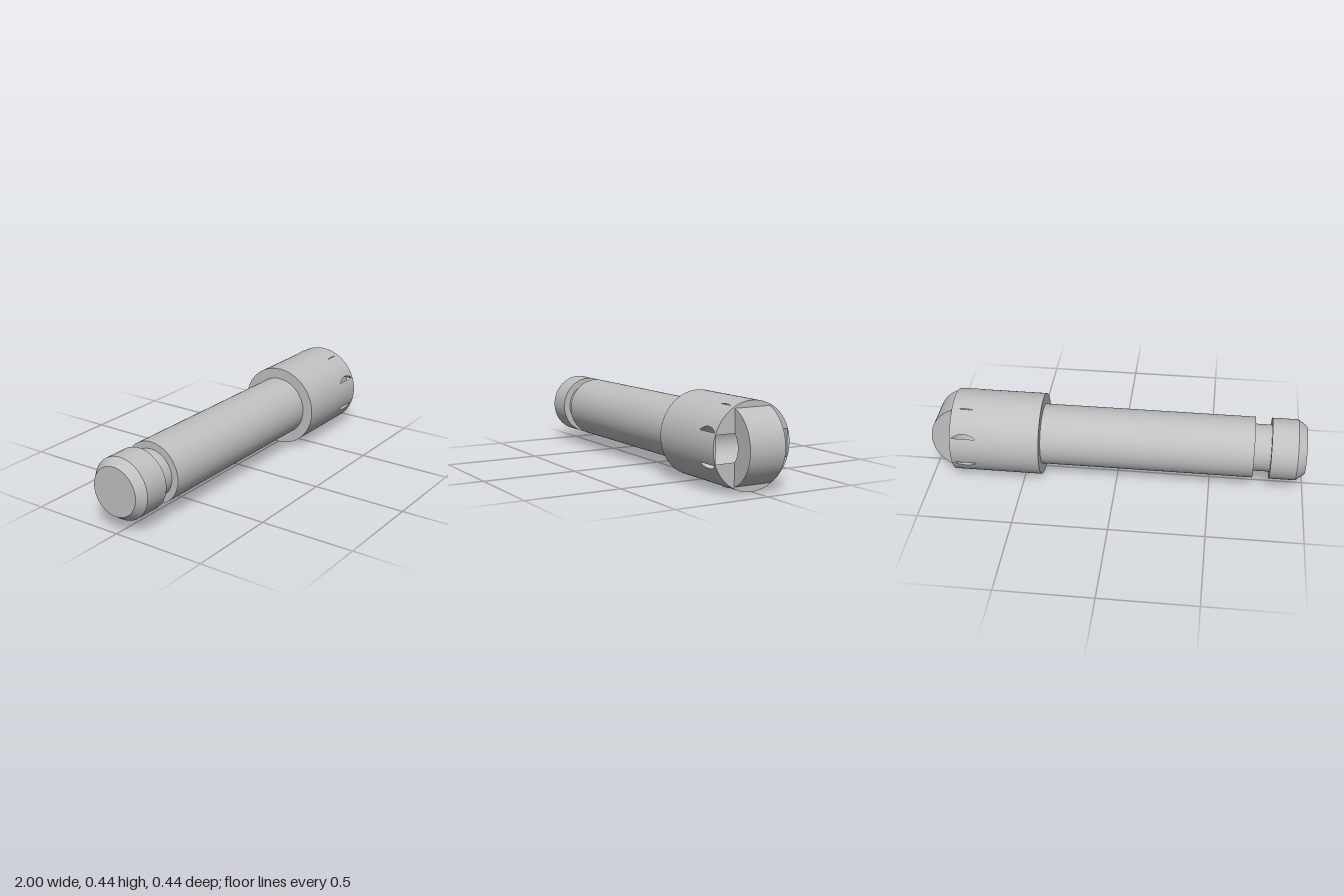
import * as THREE from 'three';
import { mergeGeometries } from 'three/addons/utils/BufferGeometryUtils.js';

const R = 0.219;          // head radius
const HEAD0 = 0.4, HEAD1 = 0.873;
const CX = 0.8;           // roller centre along the pin
const BORE = 0.1, ROLLER = 0.2, HALF = 0.1;
const DEPTH = 0.205;      // half length of the cross pocket
const FLAT = Math.sqrt(R * R - DEPTH * DEPTH); // where the pocket ends meet the head skin

// Turned solid around +y with sharp edges; profile is [position, radius] pairs
function turned(profile) {
  const parts = [];
  for (let i = 0; i + 1 < profile.length; i++) {
    const pts = [profile[i], profile[i + 1]].map(([p, r]) => new THREE.Vector2(r, p));
    parts.push(new THREE.LatheGeometry(pts, 96));
  }
  return mergeGeometries(parts);
}

// Collects four-cornered patches with exact normals
function patches() {
  const pos = [], nor = [];
  return {
    add(corners, normals) {
      for (const i of [0, 1, 2, 0, 2, 3]) {
        pos.push(...corners[i]);
        nor.push(...normals[i]);
      }
    },
    geometry() {
      const g = new THREE.BufferGeometry();
      g.setAttribute('position', new THREE.Float32BufferAttribute(pos, 3));
      g.setAttribute('normal', new THREE.Float32BufferAttribute(nor, 3));
      return g;
    },
  };
}

// Head skin, left open where the cross pocket breaks through in four slits
function headSkin() {
  const out = patches();
  const s1 = Math.asin(FLAT / R), s2 = Math.asin(BORE / R), PI = Math.PI;
  const breaks = [-s2, -s1, s1, s2, PI - s2, PI - s1, PI + s1, PI + s2, 2 * PI - s2];
  const at = (x, a) => [x, R * Math.sin(a), R * Math.cos(a)];
  const n = (a) => [0, Math.sin(a), Math.cos(a)];
  for (let k = 0; k < 8; k++) {
    const slit = k % 2 === 0;
    const span = breaks[k + 1] - breaks[k];
    const steps = Math.max(12, Math.ceil(span / 0.06));
    const half = (a) => slit ? Math.sqrt(Math.max(0, BORE ** 2 - (R * Math.sin(a)) ** 2)) : 0;
    for (let i = 0; i < steps; i++) {
      const a = breaks[k] + span * i / steps, b = breaks[k] + span * (i + 1) / steps;
      const normals = [n(a), n(a), n(b), n(b)];
      out.add([at(HEAD0, a), at(CX - half(a), a), at(CX - half(b), b), at(HEAD0, b)], normals);
      out.add([at(CX + half(a), a), at(HEAD1, a), at(HEAD1, b), at(CX + half(b), b)], normals);
    }
  }
  return out.geometry();
}

// Curved wall of the pocket on both sides of the roller, open at the head's end
const T0 = Math.acos((HEAD1 - CX) / BORE);
const pocketAngle = (i, n) => T0 + (2 * Math.PI - 2 * T0) * i / n;
function pocketWall() {
  const out = patches(), N = 72;
  for (const s of [-1, 1]) {
    const line = (t) => {
      const x = CX + BORE * Math.cos(t), y = BORE * Math.sin(t);
      const deep = Math.min(DEPTH, Math.sqrt(R * R - y * y));
      const z = s > 0 ? [HALF, deep] : [-deep, -HALF];
      return z.map((v) => [x, y, v]);
    };
    const n = (t) => [-Math.cos(t), -Math.sin(t), 0];
    for (let i = 0; i < N; i++) {
      const t = pocketAngle(i, N), u = pocketAngle(i + 1, N);
      const [a, b] = line(t), [d, c] = line(u);
      out.add([a, b, c, d], [n(t), n(t), n(u), n(u)]);
    }
  }
  return out.geometry();
}

// Flat end of the pocket, just inside the head skin
function pocketEnd() {
  const pts = [];
  for (let i = 0; i <= 72; i++) {
    const t = pocketAngle(i, 72);
    const y = THREE.MathUtils.clamp(BORE * Math.sin(t), -FLAT, FLAT);
    pts.push(new THREE.Vector2(CX + BORE * Math.cos(t), y));
  }
  return new THREE.ShapeGeometry(new THREE.Shape(pts));
}

// End face of the head with the pocket opening
function headFace() {
  const face = new THREE.Shape().absarc(0, 0, R, 0, Math.PI * 2);
  const h = BORE * Math.sin(T0);
  face.holes.push(new THREE.Path([
    [-DEPTH, -h], [-DEPTH, h], [DEPTH, h], [DEPTH, -h],
  ].map(([x, y]) => new THREE.Vector2(x, y))));
  return new THREE.ShapeGeometry(face, 96).rotateY(Math.PI / 2).translate(HEAD1, 0, 0);
}

export function createModel() {
  const steel = new THREE.MeshStandardMaterial({ color: 0xc0c0c0, side: THREE.DoubleSide });
  steel.name = 'steel grey';
  const model = new THREE.Group();
  model.name = 'rollerPin';
  const add = (name, geometry, parent = model) => {
    const mesh = new THREE.Mesh(geometry, steel);
    mesh.name = name;
    parent.add(mesh);
    return mesh;
  };

  // Shaft with chamfered tip and retaining groove
  add('shaft', turned([
    [-1, 0], [-1, 0.128], [-0.953, 0.162], [-0.815, 0.162], [-0.815, 0.125],
    [-0.727, 0.125], [-0.727, 0.162], [HEAD0, 0.162],
  ]).rotateZ(-Math.PI / 2));

  // Head
  const head = new THREE.Group();
  head.name = 'head';
  model.add(head);
  add('headShoulder', turned([[HEAD0, 0.162], [HEAD0, R]]).rotateZ(-Math.PI / 2), head);
  add('headSkin', headSkin(), head);
  add('headFace', headFace(), head);
  add('pocketWall', pocketWall(), head);
  for (const s of [-1, 1]) add('pocketEnd', pocketEnd(), head).position.z = s * DEPTH;

  // Roller ring standing out of the head
  add('roller', turned([
    [-HALF, BORE], [-HALF, ROLLER], [HALF, ROLLER], [HALF, BORE], [-HALF, BORE],
  ]).rotateX(Math.PI / 2)).position.x = CX;

  for (const part of model.children) part.position.y = R;
  return model;
}
